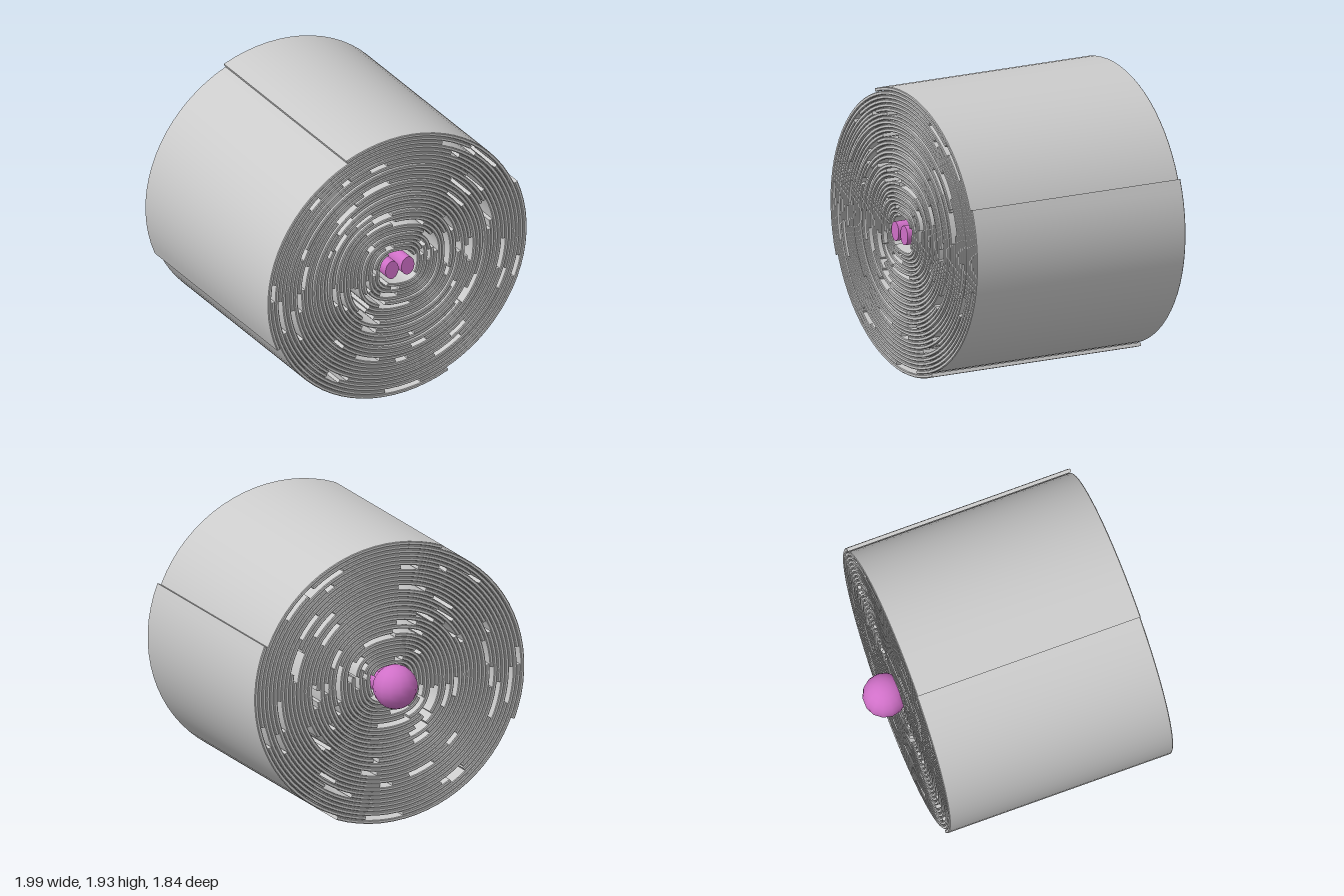
import * as THREE from 'three';

const CENTRE_Y = 0.967;
const BACK_Z = -0.69;
const PITCH = 0.0285;      // radial step between neighbouring layers
const HALF = 0.0125;       // half the thickness of a sheet
const OUTER = 1.005 - HALF;
const INNER = 0.14;

const grey = new THREE.MeshStandardMaterial({ color: 0xcccccc, side: THREE.DoubleSide });
const pink = new THREE.MeshStandardMaterial({ color: 0xd070c8 });

function seeded(seed) {
  return () => {
    seed = (seed * 16807) % 2147483647;
    return seed / 2147483647;
  };
}

// Radius of a spiral arm after it has turned by so many degrees
const radiusAt = (turn) => OUTER - PITCH * turn / 90;

// A point of the roll; the layers grow flatter and squarer towards the core
function place(r, angle, z) {
  const core = THREE.MathUtils.clamp((0.6 - r) / 0.45, 0, 1);
  const squareness = 1 - core * 0.05 * Math.cos(4 * angle);
  const flat = 0.968 - 0.1 * core;
  return [r * squareness * Math.cos(angle), r * flat * squareness * Math.sin(angle), z];
}

// A curved sheet: a chamfered strip profile swept along part of a spiral arm
function sheetGeometry(startAngle, from, to, frontZ) {
  const c = 0.005;
  const profile = [
    [HALF, BACK_Z + c], [HALF, frontZ - c], [HALF - c, frontZ], [c - HALF, frontZ],
    [-HALF, frontZ - c], [-HALF, BACK_Z + c], [c - HALF, BACK_Z], [HALF - c, BACK_Z],
  ];
  const steps = Math.max(2, Math.ceil((to - from) / 5));
  const positions = [], index = [];
  const point = (i, [dr, z]) => {
    // i runs against the winding so that the angle grows with it
    const turn = to + (from - to) * i / steps;
    return place(radiusAt(turn) + dr, THREE.MathUtils.degToRad(startAngle - turn), z);
  };
  // Each side has its own vertices, so edges stay sharp and curves smooth
  profile.forEach((p, j) => {
    const q = profile[(j + 1) % profile.length];
    const base = positions.length / 3;
    for (let i = 0; i <= steps; i++) positions.push(...point(i, p), ...point(i, q));
    for (let i = 0; i < steps; i++) {
      const a = base + i * 2;
      index.push(a, a + 2, a + 3, a, a + 3, a + 1);
    }
  });
  // End caps
  for (const i of [0, steps]) {
    const base = positions.length / 3;
    profile.forEach((p) => positions.push(...point(i, p)));
    for (let j = 1; j < profile.length - 1; j++) {
      if (i === 0) index.push(base, base + j, base + j + 1);
      else index.push(base, base + j + 1, base + j);
    }
  }
  const geometry = new THREE.BufferGeometry();
  geometry.setAttribute('position', new THREE.Float32BufferAttribute(positions, 3));
  geometry.setIndex(index);
  geometry.computeVertexNormals();
  return geometry;
}

function addMesh(parent, name, geometry, material) {
  const mesh = new THREE.Mesh(geometry, material);
  mesh.name = name;
  parent.add(mesh);
  return mesh;
}

export function createModel() {
  const model = new THREE.Group();
  model.name = 'rolledSheets';
  const random = seeded(4217);

  // Four interleaved spiral arms, each broken into sheets with gaps between them
  const roll = new THREE.Group();
  roll.name = 'roll';
  roll.position.y = CENTRE_Y;
  model.add(roll);
  const lastTurn = (OUTER - INNER) / PITCH * 90;
  for (let arm = 0; arm < 4; arm++) {
    const startAngle = 23 + 90 * arm;
    let turn = 0;
    while (turn < lastTurn - 20) {
      const r = radiusAt(turn);
      const end = Math.min(lastTurn, turn + 100 + random() * 70);
      // Inner sheets stand slightly proud at the front
      const frontZ = r > 0.88 ? 0.89 : r > 0.78 ? 0.897 : 0.897 + 0.012 * Math.round(random());
      addMesh(roll, 'sheet', sheetGeometry(startAngle, turn, end, frontZ), grey);
      turn = end + 4 + random() * (r < 0.45 && r > 0.25 ? 40 : 18);
    }
  }

  // Ball at the back
  const ball = addMesh(model, 'ball', new THREE.SphereGeometry(0.15, 14, 12), pink);
  ball.position.set(0, CENTRE_Y - 0.005, -0.77);

  // Pair of oval rods running through the core
  const rodLength = 1.62;
  for (const side of [-1, 1]) {
    const rodShape = new THREE.CylinderGeometry(1, 1, rodLength, 24);
    rodShape.rotateX(Math.PI / 2);
    rodShape.scale(0.05, 0.066, 1);
    const rod = addMesh(model, side > 0 ? 'leftRod' : 'rightRod', rodShape, pink);
    rod.position.set(side * 0.061, CENTRE_Y, 0.92 - rodLength / 2);
  }
  return model;
}
